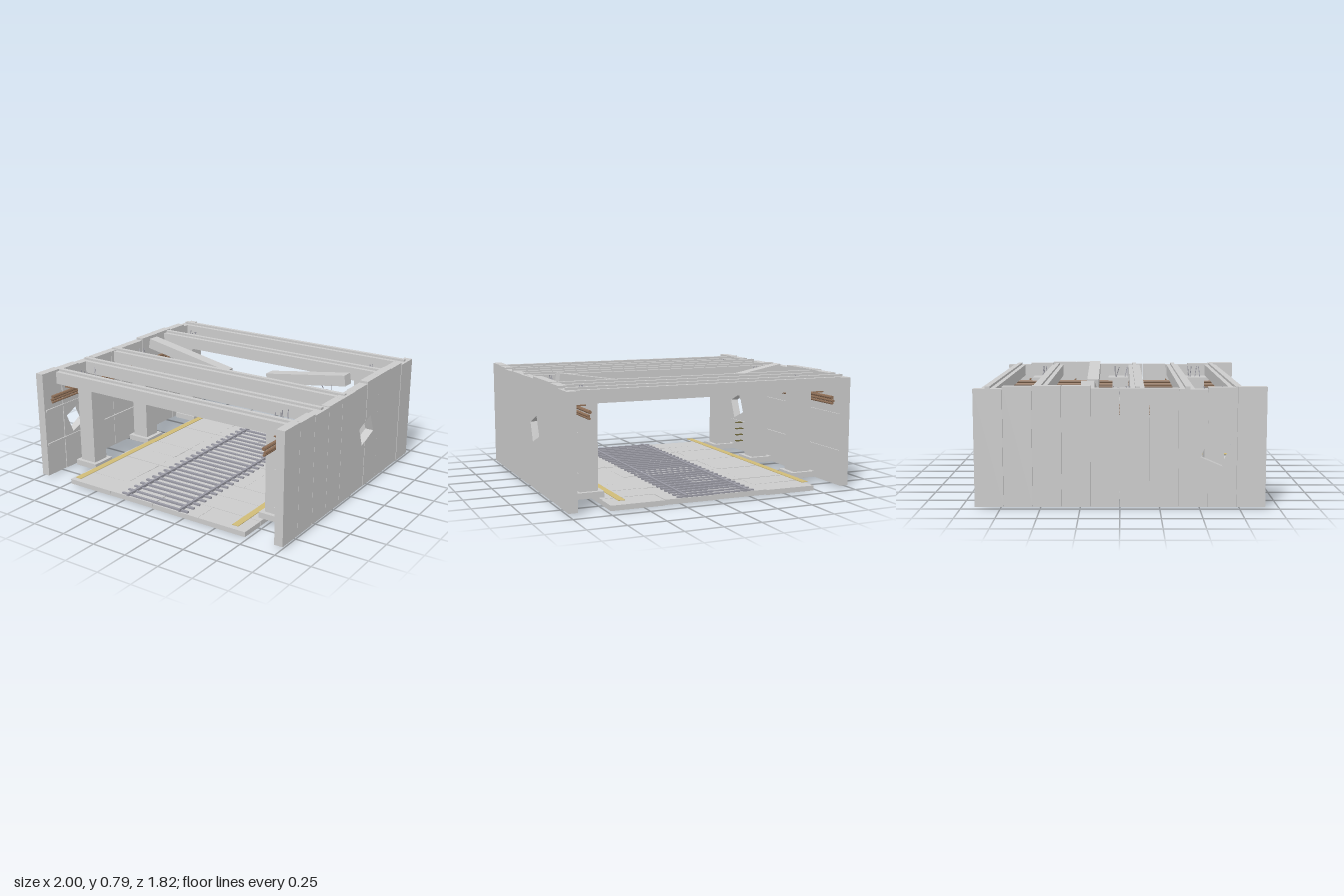
import * as THREE from 'three';

const paint = (color) => new THREE.MeshStandardMaterial({ color, flatShading: true });
const CELL = 0.182; // length of one wall panel / floor slab

export function createModel() {
  const model = new THREE.Group();
  const grey = paint(0xcccccc), steel = paint(0x9a9aa4), tan = paint(0xd0bc78);
  const rust = paint(0x8f7058), olive = paint(0x6a6238);

  let seed = 7;
  const rand = () => (seed = (seed * 16807) % 2147483647) / 2147483647;
  const jitter = (a) => (rand() - 0.5) * 2 * a;

  const add = (name, geo, mat, x = 0, y = 0, z = 0) => {
    const mesh = new THREE.Mesh(geo, mat);
    mesh.name = name;
    mesh.position.set(x, y, z);
    model.add(mesh);
    return mesh;
  };
  const box = (name, w, h, d, x, y, z, mat = grey) =>
    add(name, new THREE.BoxGeometry(w, h, d), mat, x, y, z);

  // Floor slabs, slightly uneven
  for (let c = 0; c < 4; c++) {
    for (let r = 0; r < 10; r++) {
      const slab = box('floorSlab', 0.362, 0.034, 0.18,
        -0.546 + c * 0.364, 0.022 + jitter(0.003), -0.819 + r * CELL);
      slab.rotation.z = jitter(0.006);
    }
  }

  // Wall panels; broken openings cross a joint, so they notch two neighbours.
  // low: notch on the panel's -z edge (bottom to top), high: on its +z edge
  const notches = {
    '1:4': { low: [[-0.182, 0.345], [-0.14, 0.33], [-0.09, 0.46], [-0.182, 0.494]] },
    '1:3': { high: [[-0.182, 0.345], [-0.305, 0.39], [-0.25, 0.52], [-0.182, 0.494]] },
    '-1:8': { low: [[0.546, 0.311], [0.639, 0.271], [0.699, 0.409], [0.561, 0.469], [0.546, 0.434]] },
    '-1:7': { high: [[0.546, 0.311], [0.501, 0.331], [0.546, 0.434]] },
  };
  const tops = [0.755, 0.77, 0.775, 0.775, 0.76, 0.76, 0.76, 0.755, 0.765, 0.77];
  for (const side of [-1, 1]) {
    for (let i = 0; i < 10; i++) {
      const z0 = -0.91 + i * CELL, z1 = z0 + CELL, e = 0.001;
      const { low = [], high = [] } = notches[`${side}:${i}`] || {};
      const outline = [[z0 + e, 0.014], [z1 - e, 0.014], ...high,
        [z1 - e, tops[i]], [z0 + e, tops[i]], ...low.slice().reverse()];
      // Drawn in (-z, y), then turned so the thickness runs along x
      const shape = new THREE.Shape(outline.map(([z, y]) => new THREE.Vector2(-z, y)));
      const geo = new THREE.ExtrudeGeometry(shape, { depth: 0.06, bevelEnabled: false });
      geo.rotateY(Math.PI / 2);
      add('wallPanel', geo, grey, (side > 0 ? 0.938 : -0.998) + jitter(0.003));
    }
    // Thin horizontal ribs on the inner wall face
    for (const y of [0.25, 0.5]) box('wallRib', 0.01, 0.014, 1.8, side * 0.933, y, 0);
  }

  // Roof beams with a narrow rib on top
  for (const z of [-0.82, -0.51, 0.11, 0.42, 0.73]) {
    box('roofBeam', 1.96, 0.085, 0.09, 0, 0.7125, z);
    box('beamRib', 1.96, 0.016, 0.03, 0, 0.762, z);
  }

  // Collapsed beam, snapped into two sagging halves
  box('brokenBeamRight', 0.72, 0.075, 0.085, -0.495, 0.69, -0.203).rotation.z = -0.187;
  box('brokenBeamLeft', 0.63, 0.075, 0.085, 0.525, 0.71, -0.203).rotation.z = 0.15;

  // Pillars with base, cap and exposed reinforcing bars
  for (const side of [-1, 1]) {
    for (const z of [-0.6, 0, 0.6]) {
      const x = side * 0.783;
      box('pillar', 0.125, 0.58, 0.125, x, 0.365, z);
      box('pillarBase', 0.18, 0.04, 0.18, x - side * 0.003, 0.06, z);
      box('pillarCap', 0.19, 0.022, 0.19, x, 0.66, z);
      for (let k = 0; k < 4; k++) {
        const bar = add('reinforcingBar', new THREE.CylinderGeometry(0.003, 0.003, 0.09, 5), steel,
          x + jitter(0.045), 0.71, z + jitter(0.06));
        bar.rotation.set(jitter(0.3), 0, jitter(0.3));
      }
    }
  }

  // Track: sleepers and two rails
  for (let i = 0; i < 28; i++) {
    box('sleeper', 0.55, 0.012, 0.018, 0, 0.045, -0.893 + i * 0.066, steel);
  }
  for (const side of [-1, 1]) {
    box('rail', 0.016, 0.018, 1.82, side * 0.215, 0.05, 0, steel);
    // Edge marking strip
    box('edgeStrip', 0.045, 0.004, 1.82, side * 0.655, 0.066, 0, tan);
    // Pipe bundle along the wall and its brackets
    for (const [x, y, r] of [[0.855, 0.625, 0.012], [0.864, 0.602, 0.01], [0.858, 0.585, 0.008]]) {
      const pipe = add('pipe', new THREE.CylinderGeometry(r, r, 1.82, 8), rust, side * x, y, 0);
      pipe.rotation.x = Math.PI / 2;
    }
    for (let k = -2; k <= 2; k++) {
      box('pipeBracket', 0.08, 0.008, 0.01, side * 0.86, 0.643, k * 0.365, rust);
    }
  }

  // Short rungs on the right wall
  for (let k = 0; k < 4; k++) {
    box('wallRung', 0.06, 0.006, 0.03, -0.907, 0.1 + k * 0.05, 0.5, olive);
  }
  return model;
}
